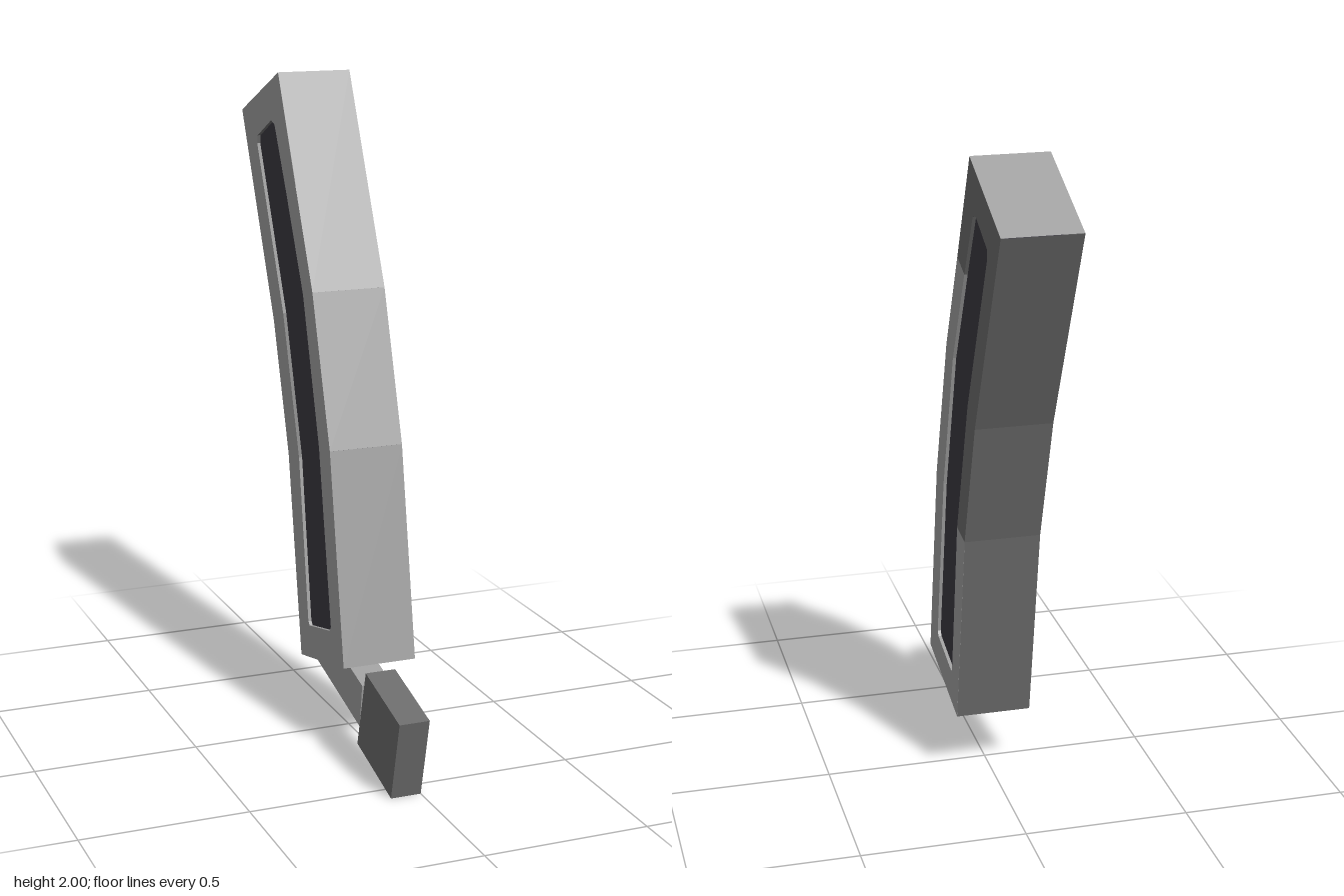
import * as THREE from 'three';

export function createModel() {
  const model = new THREE.Group();
  const mat = (name, color) => {
    const m = new THREE.MeshStandardMaterial({ color });
    m.name = name;
    return m;
  };
  const light = mat('light grey', 0xa0a0a0);
  const dark = mat('dark grey', 0x6c6c6c);
  const inlay = mat('charcoal', 0x3b3941);

  const HALF = 0.115, RECESS = 0.01;

  const add = (name, geometry, material) => {
    const mesh = new THREE.Mesh(geometry, material);
    mesh.name = name;
    model.add(mesh);
  };

  // Profile of [z, y] points extruded from x0 to x1
  const slab = (name, points, x0, x1, material) => {
    const shape = new THREE.Shape(points.map(([z, y]) => new THREE.Vector2(-z, y)));
    const geometry = new THREE.ExtrudeGeometry(shape, { depth: x1 - x0, bevelEnabled: false });
    geometry.rotateY(Math.PI / 2).translate(x0, 0, 0);
    add(name, geometry, material);
  };

  // Flat skin panels across the body width, one per profile segment
  const skin = (name, points, material) => {
    const pos = [];
    for (let i = 0; i < points.length - 1; i++) {
      const [az, ay] = points[i], [bz, by] = points[i + 1];
      const len = Math.hypot(bz - az, by - ay);
      const oz = (by - ay) / len * 0.001, oy = -(bz - az) / len * 0.001;
      const a = [ay + oy, az + oz], b = [by + oy, bz + oz];
      pos.push(-HALF, ...a, HALF, ...a, HALF, ...b, -HALF, ...a, HALF, ...b, -HALF, ...b);
    }
    const geometry = new THREE.BufferGeometry();
    geometry.setAttribute('position', new THREE.Float32BufferAttribute(pos, 3));
    geometry.computeVertexNormals();
    add(name, geometry, material);
  };

  // Outer skin of the bent body
  const front = [[0.25, 0.29], [0.14, 0.93], [0, 1.38], [-0.285, 2]];
  const back = [[-0.62, 1.855], [-0.34, 1.23], [-0.215, 0.835], [-0.11, 0.21]];
  skin('bodyFront', front, light);
  skin('bodyTop', [front[3], back[0]], light);
  skin('bodyBack', back, dark);
  skin('bodyBottom', [back[3], front[0]], light);

  // Side frames around the recess: lower front part and upper back part
  const lowerFrame = [
    ...front.slice(0, 3), [-0.14, 1.68], [-0.222, 1.65], [-0.08, 1.36], [0.05, 0.92],
    [0.145, 0.385], [0.135, 0.37], [-0.035, 0.33], [-0.047, 0.34], [-0.122, 0.845], ...back.slice(2),
  ];
  const upperFrame = [
    [-0.14, 1.68], front[3], ...back.slice(0, 3), [-0.122, 0.845], [-0.255, 1.27],
    [-0.48, 1.765], [-0.475, 1.79], [-0.35, 1.85], [-0.32, 1.84], [-0.222, 1.65],
  ];
  for (const side of [1, -1]) {
    const x0 = side > 0 ? HALF - RECESS : -HALF;
    slab('lowerSideFrame', lowerFrame, x0, x0 + RECESS, light);
    slab('upperSideFrame', upperFrame, x0, x0 + RECESS, [side > 0 ? dark : light, dark]);
  }

  // Dark inlay running through the body and showing in both side recesses
  slab('sideInlay', [
    [0.16, 0.35], [0.065, 0.92], [-0.065, 1.365], [-0.31, 1.87], [-0.5, 1.79],
    [-0.27, 1.265], [-0.135, 0.84], [-0.055, 0.315],
  ], -HALF + RECESS, HALF - RECESS, inlay);

  // Offset arm and square foot
  slab('arm', [[0.34, 0.265], [0.2, 0.3], [0, 0.25], [-0.04, 0.22], [0.32, 0.13]], -0.092, -0.001, light);
  slab('foot', [[0.625, 0.25], [0.37, 0.315], [0.305, 0.07], [0.565, 0.002]], -0.093, 0, dark);

  return model;
}
